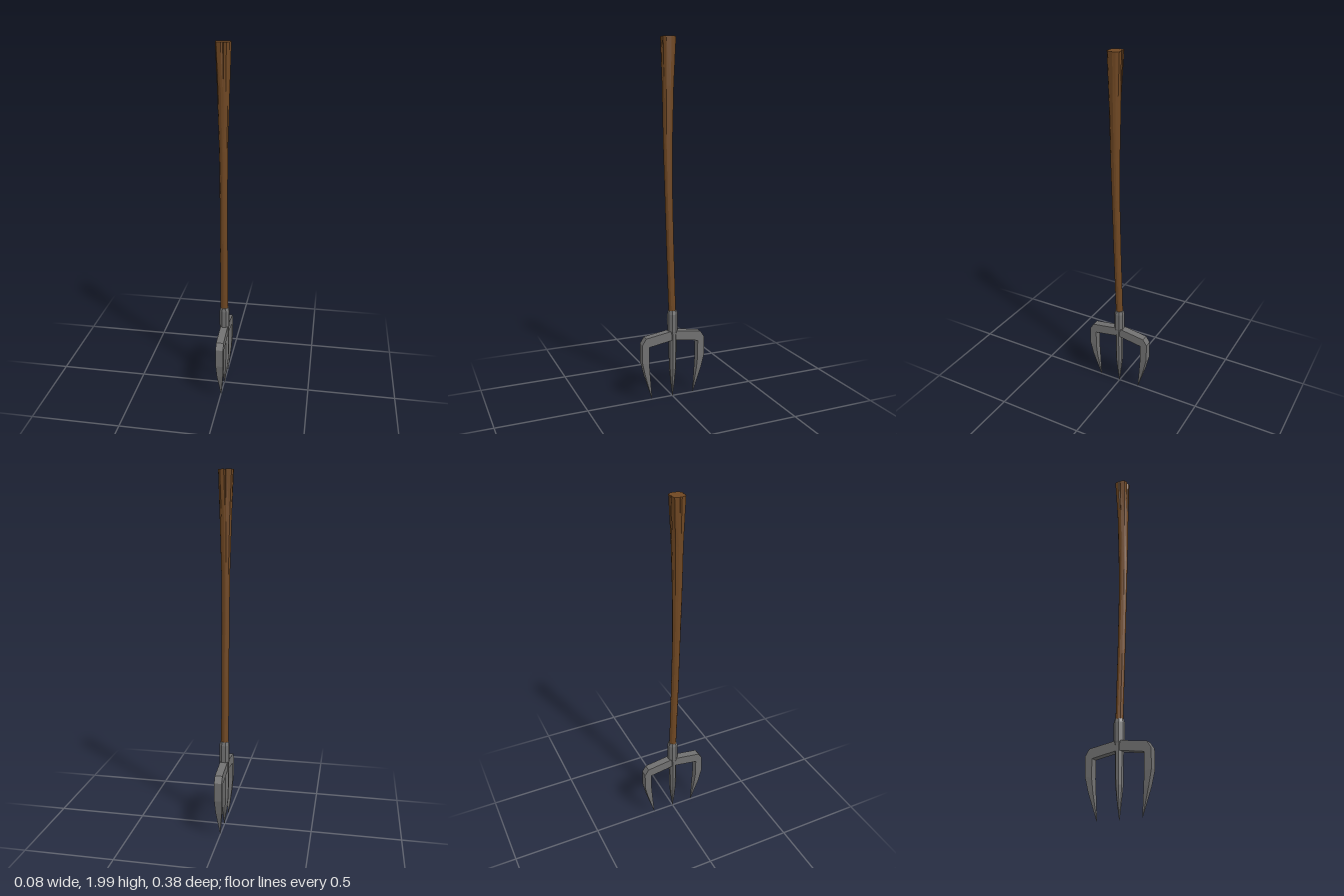
import * as THREE from 'three';

// Skin a closed, flat-faced solid over a list of rings of [x, y, z] points.
function loft(rings) {
  const tris = [], n = rings[0].length;
  for (let r = 0; r < rings.length - 1; r++) {
    for (let i = 0; i < n; i++) {
      const j = (i + 1) % n, a = rings[r][i], b = rings[r][j], c = rings[r + 1][j], d = rings[r + 1][i];
      tris.push([a, b, c], [a, c, d]);
    }
  }
  // End caps as fans around the ring centres
  for (const [ring, flip] of [[rings[0], true], [rings[rings.length - 1], false]]) {
    const mid = [0, 1, 2].map(k => ring.reduce((s, p) => s + p[k], 0) / n);
    ring.forEach((p, i) => {
      const q = ring[(i + 1) % n];
      tris.push(flip ? [mid, q, p] : [mid, p, q]);
    });
  }
  // Turn the solid outward if its signed volume is negative
  const v = p => new THREE.Vector3(...p);
  const volume = tris.reduce((s, [a, b, c]) => s + v(a).dot(v(b).cross(v(c))), 0);
  if (volume < 0) tris.forEach(t => t.reverse());
  const g = new THREE.BufferGeometry();
  g.setAttribute('position', new THREE.Float32BufferAttribute(tris.flat(2), 3));
  g.computeVertexNormals();
  return g;
}

function octagon(y, rx, rz, cx = 0.002) {
  return Array.from({ length: 8 }, (_, i) => {
    const a = (i + 0.5) * Math.PI / 4, k = 1 / Math.cos(Math.PI / 8);
    return [cx + Math.cos(a) * rx * k, y, Math.sin(a) * rz * k];
  });
}

export function createModel() {
  const wood = new THREE.MeshStandardMaterial({ color: 0x6f4722, flatShading: true });
  wood.name = 'brown wood';
  const metal = new THREE.MeshStandardMaterial({ color: 0x707070, flatShading: true });
  metal.name = 'grey metal';
  const model = new THREE.Group();
  model.name = 'pitchfork';
  const add = (name, geometry, material) => {
    const mesh = new THREE.Mesh(geometry, material);
    mesh.name = name;
    model.add(mesh);
  };

  // Handle: notched butt end easing into a slim, slightly bent round shaft
  const butt = [[-0.042, 0.017], [-0.036, -0.006], [-0.01, -0.012], [-0.003, -0.004],
    [0.004, -0.012], [0.024, -0.011], [0.035, 0.004], [0.039, 0.02], [0.033, 0.048],
    [0.02, 0.06], [0.006, 0.06], [0, 0.055], [-0.01, 0.06], [-0.033, 0.055],
    [-0.042, 0.03], [-0.037, 0.023]];
  const shaft = [ // y, centre z, radius x, radius z, amount of butt shape
    [0.48, 0, 0.021, 0.02, 0], [0.9, 0.014, 0.021, 0.021, 0], [1.2, 0.022, 0.021, 0.022, 0],
    [1.45, 0.026, 0.023, 0.026, 0], [1.75, 0.026, 0.03, 0.03, 0.15], [2, 0.025, 0.036, 0.035, 1]];
  add('handle', loft(shaft.map(([y, cz, rx, rz, t]) => butt.map(([x, z]) => {
    const a = Math.atan2(z - 0.025, x);
    return [THREE.MathUtils.lerp(Math.cos(a) * rx, x, t), y,
      THREE.MathUtils.lerp(cz + Math.sin(a) * rz, z, t)];
  }))), wood);

  // Socket and middle tine
  add('socket', loft([octagon(0.37, 0.021, 0.021), octagon(0.4, 0.027, 0.027),
    octagon(0.5, 0.027, 0.027), octagon(0.52, 0.022, 0.022)]), metal);
  add('middleTine', loft([octagon(0.01, 0.001, 0.001), octagon(0.1, 0.014, 0.011),
    octagon(0.18, 0.023, 0.018), octagon(0.35, 0.025, 0.02), octagon(0.39, 0.025, 0.02)]), metal);

  // Side arms with their tines: outer z, y, inner z, y, half thickness
  const arm = [[0, 0.405, 0, 0.352, 0.021], [0.165, 0.38, 0.148, 0.328, 0.021],
    [0.188, 0.345, 0.148, 0.328, 0.021], [0.188, 0.24, 0.148, 0.23, 0.021],
    [0.17, 0.16, 0.142, 0.16, 0.017], [0.127, 0.015, 0.125, 0.015, 0.001]];
  for (const [name, s] of [['frontTine', 1], ['backTine', -1]]) {
    add(name, loft(arm.map(([oz, oy, iz, iy, h]) => [
      [0.002 - h, oy, s * oz], [0.002 + h, oy, s * oz],
      [0.002 + h, iy, s * iz], [0.002 - h, iy, s * iz]])), metal);
  }
  return model;
}
